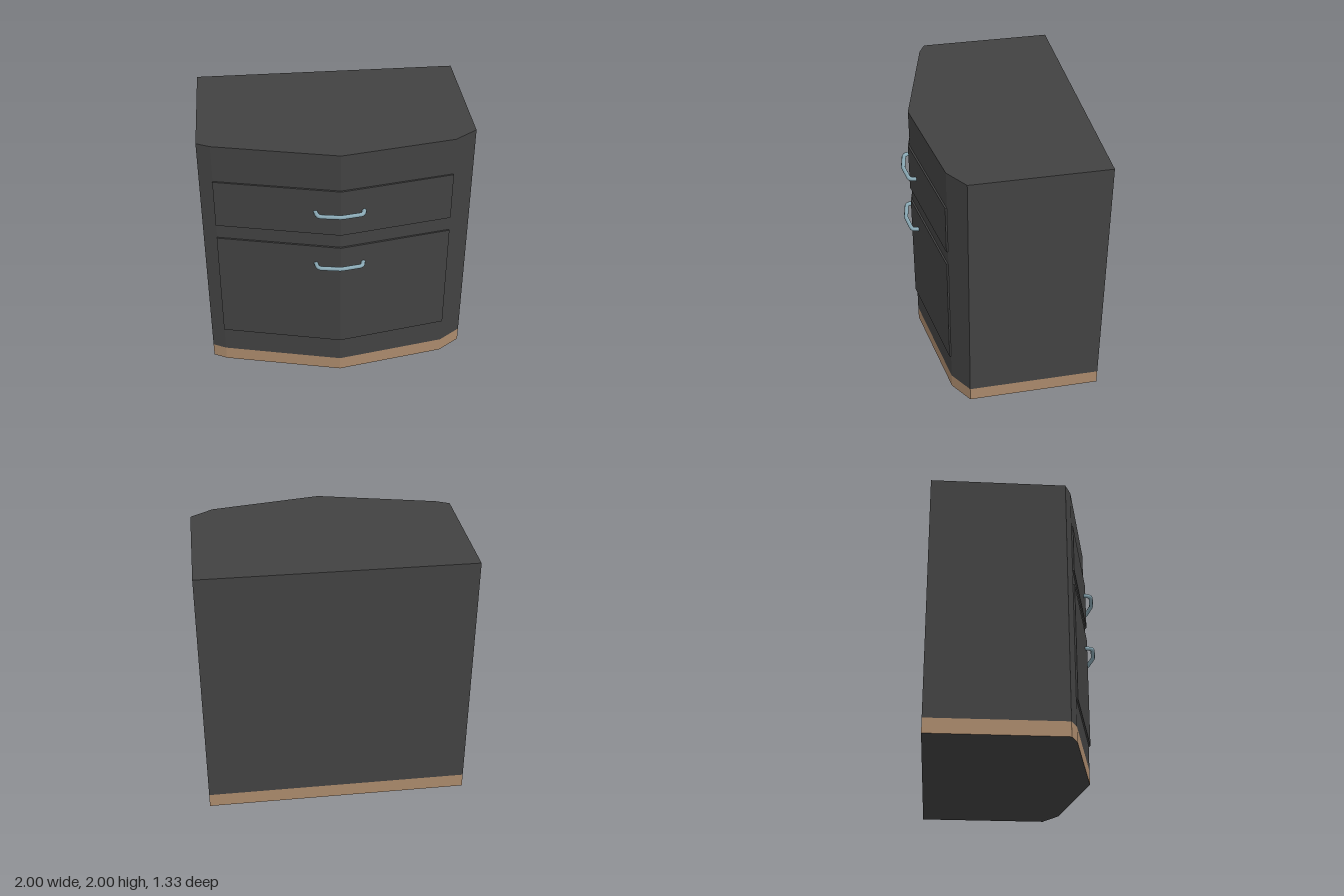
import * as THREE from 'three';

const charcoal = new THREE.MeshStandardMaterial({ color: 0x424242 });
charcoal.name = 'charcoal';
const wood = new THREE.MeshStandardMaterial({ color: 0xab8a6c });
wood.name = 'tan wood';
const steel = new THREE.MeshStandardMaterial({ color: 0x8aa9b5 });
steel.name = 'blue steel';

// Upright prism from an [x, z] outline, between two heights
function prism(name, outline, y0, y1, material) {
  const shape = new THREE.Shape(outline.map(([x, z]) => new THREE.Vector2(x, z)));
  const geometry = new THREE.ExtrudeGeometry(shape, { depth: y1 - y0, bevelEnabled: false });
  geometry.rotateX(Math.PI / 2).translate(0, y1, 0);
  const mesh = new THREE.Mesh(geometry, material);
  mesh.name = name;
  return mesh;
}

// Bowed bar pull: straight runs joined by rounded corners
function handle(name, y) {
  const v = (x, z) => new THREE.Vector3(x, y, z);
  const path = new THREE.CurvePath();
  path.add(new THREE.LineCurve3(v(-0.182, 0.545), v(-0.174, 0.595)));
  path.add(new THREE.QuadraticBezierCurve3(v(-0.174, 0.595), v(-0.168, 0.62), v(-0.142, 0.625)));
  path.add(new THREE.LineCurve3(v(-0.142, 0.625), v(-0.02, 0.645)));
  path.add(new THREE.QuadraticBezierCurve3(v(-0.02, 0.645), v(0, 0.649), v(0.02, 0.645)));
  path.add(new THREE.LineCurve3(v(0.02, 0.645), v(0.138, 0.626)));
  path.add(new THREE.QuadraticBezierCurve3(v(0.138, 0.626), v(0.162, 0.622), v(0.166, 0.597)));
  path.add(new THREE.LineCurve3(v(0.166, 0.597), v(0.174, 0.55)));
  const mesh = new THREE.Mesh(new THREE.TubeGeometry(path, 48, 0.016, 8), steel);
  mesh.name = name;
  return mesh;
}

export function createModel() {
  const group = new THREE.Group();
  group.name = 'cabinet';

  // Bowed front edge, from the model's right to its left
  const bow = [[-0.9, 0.38], [0, 0.59], [0.83, 0.445]];
  const outline = [[-1, -0.67], [1, -0.67], [1, 0.33], ...[...bow].reverse(), [-1, 0.33]];

  // Body on a plinth with wooden sides and a dark underside
  group.add(prism('body', outline, 0.11, 2, charcoal));
  group.add(prism('plinth', outline, 0, 0.11, [charcoal, wood]));

  // Drawer fronts following the bow, standing slightly proud of it
  const proud = [[0.832, 0.457], [0, 0.604], [-0.903, 0.392]];
  const front = [...bow, ...proud];
  group.add(prism('upperDrawerFront', front, 1.33, 1.71, charcoal));
  group.add(prism('lowerDrawerFront', front, 0.315, 1.215, charcoal));

  group.add(handle('upperHandle', 1.522));
  group.add(handle('lowerHandle', 1.056));
  return group;
}
